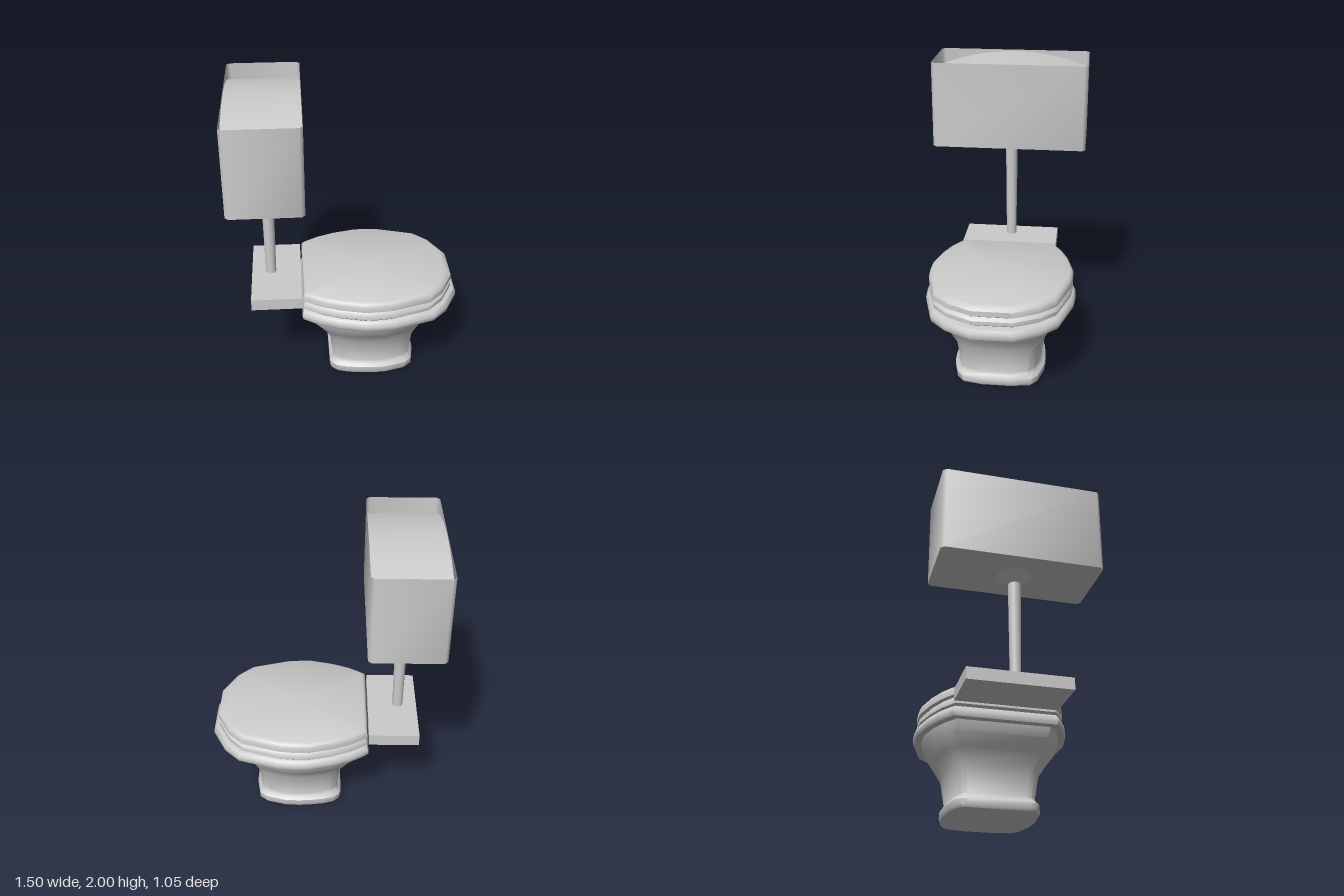
import * as THREE from 'three';
import { toCreasedNormals } from 'three/addons/utils/BufferGeometryUtils.js';

const material = new THREE.MeshStandardMaterial({ color: 0xcccccc, side: THREE.DoubleSide });

// Half outlines, back to front: [fraction along x, fraction of half width]
const OVAL = [[0, 0.67], [0.04, 0.73], [0.11, 0.82], [0.23, 0.92], [0.39, 1], [0.47, 1],
  [0.57, 0.98], [0.82, 0.82], [0.915, 0.62], [1, 0.27]];
const SQUARE = [[0, 0.66], [0.02, 0.77], [0.08, 0.87], [0.2, 0.94], [0.37, 0.985], [0.5, 1],
  [0.66, 0.985], [0.88, 0.87], [0.96, 0.74], [1, 0.32]];

// Closed ring at height y between x0 and x1; blend 0 = oval, 1 = square
function ring(y, x0, x1, halfWidth, blend = 0) {
  const half = OVAL.map(([u, w], i) => {
    const [u2, w2] = SQUARE[i];
    return [x0 + (x1 - x0) * (u + (u2 - u) * blend), halfWidth * (w + (w2 - w) * blend)];
  });
  const side = half.map(([x, z]) => new THREE.Vector3(x, y, z));
  const other = half.map(([x, z]) => new THREE.Vector3(x, y, -z)).reverse();
  return [...side, ...other];
}

// Skin a stack of rings, bottom to top, with optional end caps
function loft(rings, capBottom = true, capTop = true, crease = 0.75) {
  const n = rings[0].length;
  const pos = [];
  const tri = (...pts) => pts.forEach((p) => pos.push(p.x, p.y, p.z));
  for (let r = 0; r < rings.length - 1; r++) {
    for (let i = 0; i < n; i++) {
      const j = (i + 1) % n;
      const a = rings[r][i], b = rings[r][j], c = rings[r + 1][j], d = rings[r + 1][i];
      tri(a, b, c);
      tri(a, c, d);
    }
  }
  const cap = (points, up) => {
    const centre = points.reduce((s, p) => s.add(p), new THREE.Vector3()).divideScalar(n);
    points.forEach((p, i) => {
      const q = points[(i + 1) % n];
      if (up) tri(centre, p, q);
      else tri(centre, q, p);
    });
  };
  if (capBottom) cap(rings[0], false);
  if (capTop) cap(rings[rings.length - 1], true);
  const geometry = new THREE.BufferGeometry();
  geometry.setAttribute('position', new THREE.Float32BufferAttribute(pos, 3));
  return toCreasedNormals(geometry, crease);
}

// Rectangle with cut corners, for the cistern walls
function cutRect(y, x0, x1, z, c) {
  return [[x0, z - c], [x0 + c, z], [x1 - c, z], [x1, z - c], [x1, c - z], [x1 - c, -z], [x0 + c, -z], [x0, c - z]]
    .map(([x, zz]) => new THREE.Vector3(x, y, zz));
}

export function createModel() {
  const model = new THREE.Group();
  const add = (name, geometry) => {
    const mesh = new THREE.Mesh(geometry, material);
    mesh.name = name;
    model.add(mesh);
    return mesh;
  };

  // Pedestal: square foot flaring into the oval bowl
  add('pedestal', loft([
    ring(0, -0.12, 0.46, 0.3, 1),
    ring(0.015, -0.127, 0.47, 0.31, 1),
    ring(0.055, -0.127, 0.47, 0.31, 1),
    ring(0.075, -0.11, 0.455, 0.29, 1),
    ring(0.095, -0.1, 0.445, 0.28, 1),
    ring(0.28, -0.125, 0.475, 0.312, 0.8),
    ring(0.37, -0.18, 0.53, 0.37, 0.5),
    ring(0.45, -0.235, 0.59, 0.43, 0.2),
    ring(0.52, -0.255, 0.615, 0.45, 0),
  ]));

  // Bowl rim
  add('bowlRim', loft([
    ring(0.515, -0.305, 0.745, 0.49),
    ring(0.53, -0.31, 0.75, 0.5),
    ring(0.555, -0.31, 0.75, 0.5),
    ring(0.58, -0.3, 0.735, 0.485),
    ring(0.588, -0.28, 0.7, 0.465),
  ]));

  // Seat
  add('seat', loft([
    ring(0.585, -0.285, 0.69, 0.465),
    ring(0.6, -0.3, 0.71, 0.48),
    ring(0.625, -0.3, 0.71, 0.48),
    ring(0.645, -0.29, 0.69, 0.465),
    ring(0.655, -0.28, 0.675, 0.455),
  ]));

  // Lid
  add('lid', loft([
    ring(0.65, -0.285, 0.695, 0.465),
    ring(0.66, -0.3, 0.71, 0.48),
    ring(0.695, -0.3, 0.71, 0.48),
    ring(0.715, -0.292, 0.69, 0.47),
    ring(0.725, -0.275, 0.665, 0.452),
  ]));

  // Shelf behind the bowl that carries the flush pipe
  add('shelf', new THREE.BoxGeometry(0.335, 0.08, 0.67)).position.set(-0.4775, 0.65, 0);

  // Flush pipe with a flared collar under the cistern
  const profile = [[0, 0.695], [0.035, 0.695], [0.042, 1.36], [0.055, 1.372], [0.115, 1.42]]
    .map(([r, y]) => new THREE.Vector2(r, y));
  add('flushPipe', toCreasedNormals(new THREE.LatheGeometry(profile, 16), 0.6)).position.x = -0.515;

  // Open cistern shell
  const [x0, x1, depth] = [-0.755, -0.275, 0.523];
  add('cistern', loft([
    cutRect(1.42, x0, x1, depth, 0.022),
    cutRect(2, x0, x1, depth, 0.022),
  ], true, false, 0.9));

  // Arched surface just below the cistern's rim
  const cover = new THREE.PlaneGeometry(x1 - x0 - 0.004, 2 * depth - 0.04, 1, 24).rotateX(-Math.PI / 2);
  const p = cover.attributes.position;
  for (let i = 0; i < p.count; i++) p.setY(i, 1.99 - 0.1 * (p.getZ(i) / depth) ** 2);
  cover.computeVertexNormals();
  add('cisternCover', cover).position.x = (x0 + x1) / 2;

  return model;
}
